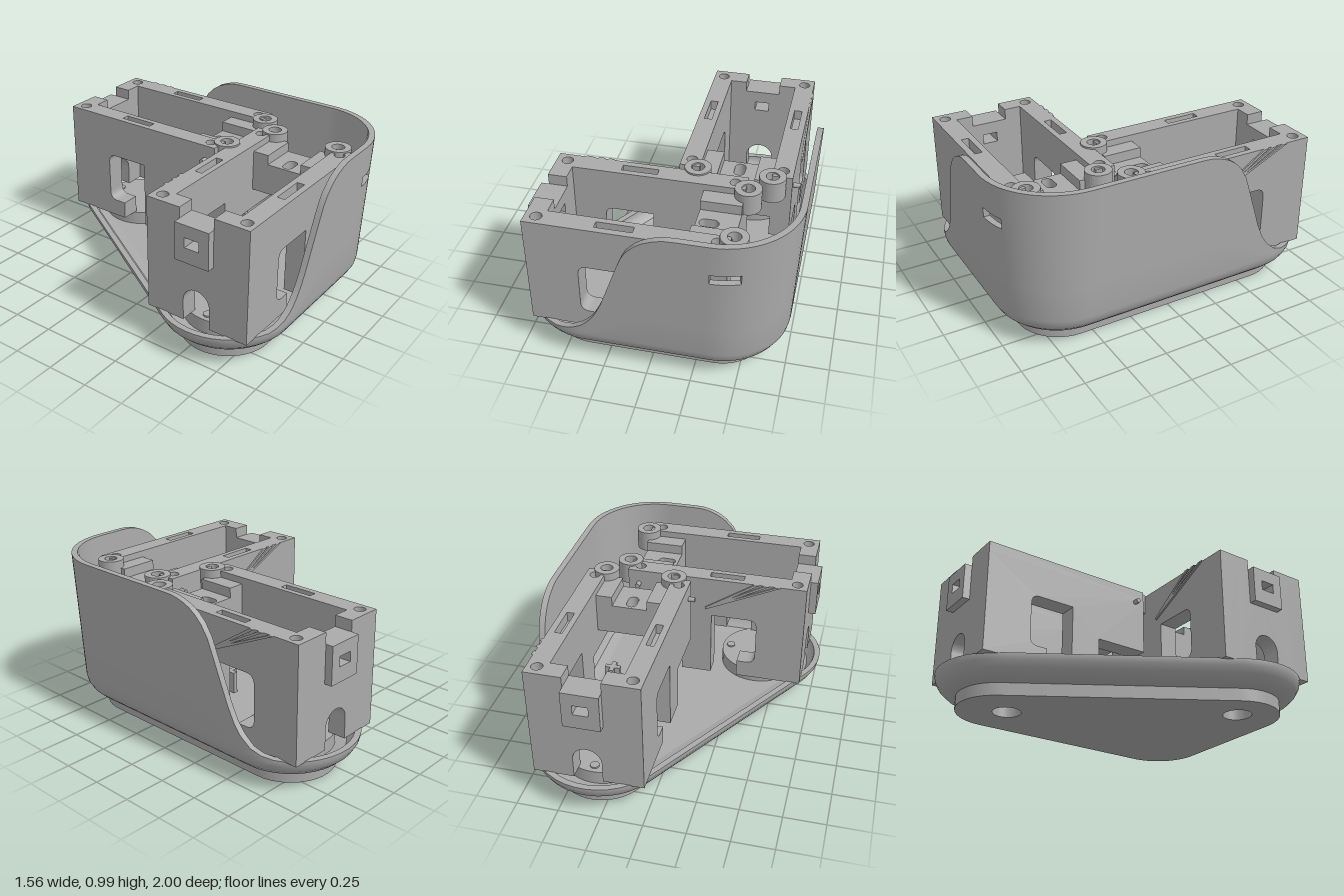
import * as THREE from 'three';
import { toCreasedNormals } from 'three/addons/utils/BufferGeometryUtils.js';

const grey = new THREE.MeshStandardMaterial({ color: 0xaaaaaa, side: THREE.DoubleSide });
grey.name = 'matte grey plastic';

const add = (parent, name, geo) => {
  const m = new THREE.Mesh(geo, grey);
  m.name = name;
  parent.add(m);
  return m;
};
const poly = pts => new THREE.Shape(pts.map(p => new THREE.Vector2(p[0], p[1])));
const rect = (x0, x1, y0, y1) => poly([[x0, y0], [x1, y0], [x1, y1], [x0, y1]]);
const circle = (x, y, r) => new THREE.Shape().absarc(x, y, r, 0, Math.PI * 2, false);
const extrude = (shape, depth) =>
  new THREE.ExtrudeGeometry(shape, { depth, bevelEnabled: false, curveSegments: 20 });
// plan shape (x, -z) raised from y0 to y1
const slab = (shape, y0, y1) => extrude(shape, y1 - y0).rotateX(-Math.PI / 2).translate(0, y0, 0);
const box = (x0, x1, y0, y1, z0, z1) =>
  new THREE.BoxGeometry(x1 - x0, y1 - y0, z1 - z0).translate((x0 + x1) / 2, (y0 + y1) / 2, (z0 + z1) / 2);

// Rounded triangle: corner centres with the sweep of their outward normals
const corners = [
  { x: 0.345, z: 0.57, a0: 0, a1: Math.PI / 2 },
  { x: 0.345, z: -0.6, a0: Math.PI / 2, a1: 4.157 },
  { x: -0.38, z: 0.57, a0: 4.157, a1: Math.PI * 2 },
];
function perimeter() {
  const cols = [];
  corners.forEach((c, i) => {
    const d = corners[(i + 1) % 3];
    for (let k = 0; k <= 16; k++) {
      const a = c.a0 + (c.a1 - c.a0) * k / 16;
      cols.push({ x: c.x, z: c.z, nx: Math.sin(a), nz: Math.cos(a) });
    }
    for (let k = 1; k < 28; k++) {
      const t = k / 28;
      cols.push({ x: c.x + (d.x - c.x) * t, z: c.z + (d.z - c.z) * t, nx: Math.sin(c.a1), nz: Math.cos(c.a1) });
    }
  });
  return cols;
}
const outline = r => poly(perimeter().map(c => [c.x + c.nx * r, -(c.z + c.nz * r)]));

// Height of the sweeping rim along the front and right sides
const sweep = [[-0.56, 0.205], [-0.47, 0.22], [-0.4, 0.25], [-0.34, 0.3], [-0.29, 0.37], [-0.25, 0.46], [-0.13, 0.8],
  [-0.1, 0.86], [-0.05, 0.915], [0, 0.95], [0.06, 0.975], [0.11, 0.987], [0.17, 0.99]];
function ramp(d) {
  if (d <= sweep[0][0]) return 0.205;
  for (let i = 1; i < sweep.length; i++) {
    const [x0, y0] = sweep[i - 1], [x1, y1] = sweep[i];
    if (d < x1) return y0 + (y1 - y0) * (d - x0) / (x1 - x0);
  }
  return 0.99;
}
const rimHeight = c => c.nx < -0.3 ? 0.205
  : Math.min(ramp(c.x + c.nx * 0.4), ramp(c.z + c.nz * 0.4 + 0.265));

// Drafted shell with a rounded bottom and a small slot at the front corner
function shellGeometry() {
  const steps = [0.25, 0.5, 0.684, 0.76, 0.9, 1];
  const rows = perimeter().map(c => {
    const h = rimHeight(c);
    const wall = steps.map(t => {
      const y = 0.2 + (h - 0.2) * t;
      return [0.4 + (y - 0.2) * 0.044, y];
    });
    const profile = [[0.26, 0.075], [0.29, 0.078], [0.335, 0.095], [0.372, 0.13], [0.393, 0.167], [0.4, 0.2], ...wall,
      ...wall.slice().reverse().map(([r, y]) => [r - 0.036, y]),
      [0.364, 0.2], [0.35, 0.165], [0.32, 0.13], [0.26, 0.115]];
    return profile.map(([r, y]) => [c.x + c.nx * r, y, c.z + c.nz * r]);
  });
  const pos = [];
  const quad = (a, b, c, d) => pos.push(...a, ...b, ...c, ...a, ...c, ...d);
  rows.forEach((p, i) => {
    const q = rows[(i + 1) % rows.length], slot = i < 4;
    for (let k = 0; k < p.length - 1; k++) {
      if (slot && (k === 8 || k === 14)) continue;
      quad(p[k], q[k], q[k + 1], p[k + 1]);
    }
    if (slot) {
      quad(p[9], q[9], q[14], p[14]);
      quad(p[8], p[15], q[15], q[8]);
    }
    if (i === 0) quad(p[8], p[9], p[14], p[15]);
    if (i === 4) quad(p[8], p[15], p[14], p[9]);
  });
  const g = new THREE.BufferGeometry();
  g.setAttribute('position', new THREE.Float32BufferAttribute(pos, 3));
  return toCreasedNormals(g, 0.6);
}

// Open motor bracket, built along +x from its outer end
function bracket(name) {
  const g = new THREE.Group();
  g.name = name;
  const L = 1.11, W = 0.325, I = 0.208, top = 0.89, cap = 0.83;
  // side profile: clipped window, foot, leg and raised inner end
  const side = new THREE.Shape();
  side.moveTo(0, 0.2).lineTo(0.41, 0.2).lineTo(0.41, 0.31).lineTo(0.35, 0.31);
  side.quadraticCurveTo(0.295, 0.31, 0.295, 0.365).lineTo(0.295, 0.575);
  side.quadraticCurveTo(0.295, 0.63, 0.35, 0.63).lineTo(0.58, 0.63).lineTo(0.58, 0.2).lineTo(0.77, 0.2);
  side.lineTo(0.77, 0.47).lineTo(L, 0.47).lineTo(L, cap).lineTo(0, cap).closePath();
  for (const s of [-1, 1]) {
    const lo = s > 0 ? I : -W, v = s * 0.265;
    add(g, 'sideWall', extrude(side, W - I).translate(0, 0, lo));
    const strip = rect(0, L, -lo - (W - I), -lo);
    strip.holes.push(rect(0.39, 0.6, -v - 0.023, -v + 0.023), circle(0.065, -v, 0.033), circle(1.045, -v, 0.032));
    add(g, 'topStrip', slab(strip, cap, top));
    // screw boss at the inner end
    const ring = circle(1.125, -s * 0.214, 0.077);
    ring.holes.push(circle(1.125, -s * 0.214, 0.038));
    add(g, 'screwBoss', slab(ring, 0.77, 0.9));
    add(g, 'sidePin', new THREE.CylinderGeometry(0.015, 0.015, 0.05, 12).rotateX(Math.PI / 2)
      .translate(1.045, 0.8, s * (W + 0.015)));
    // raised side of the inner end block
    add(g, 'innerShoulder', box(0.875, L, 0.6, 0.85, Math.min(s * 0.108, s * I), Math.max(s * 0.108, s * I)));
  }

  // outer end wall with a notch and an arched cable opening
  const end = new THREE.Shape();
  end.moveTo(-I, 0.2).lineTo(-0.085, 0.2).lineTo(-0.085, 0.33);
  end.absarc(0, 0.33, 0.085, Math.PI, 0, true);
  end.lineTo(0.085, 0.2).lineTo(I, 0.2).lineTo(I, top).lineTo(0.108, top).lineTo(0.108, 0.825);
  end.lineTo(-0.108, 0.825).lineTo(-0.108, top).lineTo(-I, top).closePath();
  end.holes.push(rect(-0.045, 0.045, 0.69, 0.75));
  add(g, 'endWall', extrude(end, 0.11).rotateY(Math.PI / 2));
  const tab = rect(-0.108, 0.108, 0.6, 0.825);
  tab.holes.push(rect(-0.045, 0.045, 0.69, 0.75));
  add(g, 'endTab', extrude(tab, 0.045).rotateY(Math.PI / 2).translate(-0.045, 0, 0));

  // inner end channel with an oval hole
  const channel = rect(0.875, L, -0.108, 0.108);
  const oval = new THREE.Path();
  oval.absarc(0.925, 0, 0.032, Math.PI / 2, Math.PI * 1.5, false);
  oval.absarc(0.972, 0, 0.032, -Math.PI / 2, Math.PI / 2, false);
  channel.holes.push(oval);
  add(g, 'innerChannel', slab(channel, 0.6, 0.79));

  // fan of slim ribs on one side
  for (const u of [0.16, 0.23, 0.29]) {
    const rib = poly([[0.62, 0.675], [0.62, 0.69], [u + 0.03, top], [u, top]]);
    add(g, 'fanRib', extrude(rib, 0.012).translate(0, 0, -W - 0.01));
  }

  // round pad below the motor with its four screws
  add(g, 'motorPad', new THREE.CylinderGeometry(0.25, 0.25, 0.09, 48).translate(0.31, 0.155, 0));
  for (let i = 0; i < 4; i++) {
    const a = i * Math.PI / 2;
    add(g, 'padScrew', new THREE.CylinderGeometry(0.027, 0.027, 0.01, 16)
      .translate(0.31 + 0.197 * Math.cos(a), 0.204, 0.197 * Math.sin(a)));
  }
  return g;
}

export function createModel() {
  const model = new THREE.Group();
  model.name = 'motorHousing';

  // plinth with two blind pockets underneath
  const foot = outline(0.27);
  foot.holes.push(circle(-0.42, -0.56, 0.085), circle(0.33, 0.57, 0.085));
  add(model, 'plinth', toCreasedNormals(slab(foot, 0, 0.076), 0.6));
  add(model, 'trayFloor', slab(outline(0.265), 0.075, 0.115));
  add(model, 'shell', shellGeometry());

  const left = bracket('leftBracket');
  left.position.set(-0.69, 0, 0.57);
  model.add(left);
  const back = bracket('backBracket');
  back.rotation.y = -Math.PI / 2;
  back.position.set(0.335, 0, -0.91);
  model.add(back);

  // small clips standing on the floor
  for (const [x, z] of [[0.12, 0.08], [0.5, 0.08], [0.3, 0.36], [0.3, 0.78]]) {
    add(model, 'floorClip', box(x - 0.05, x + 0.05, 0.11, 0.25, z - 0.015, z + 0.015));
    add(model, 'floorClipRib', box(x - 0.015, x + 0.015, 0.11, 0.25, z - 0.05, z + 0.05));
  }
  return model;
}
